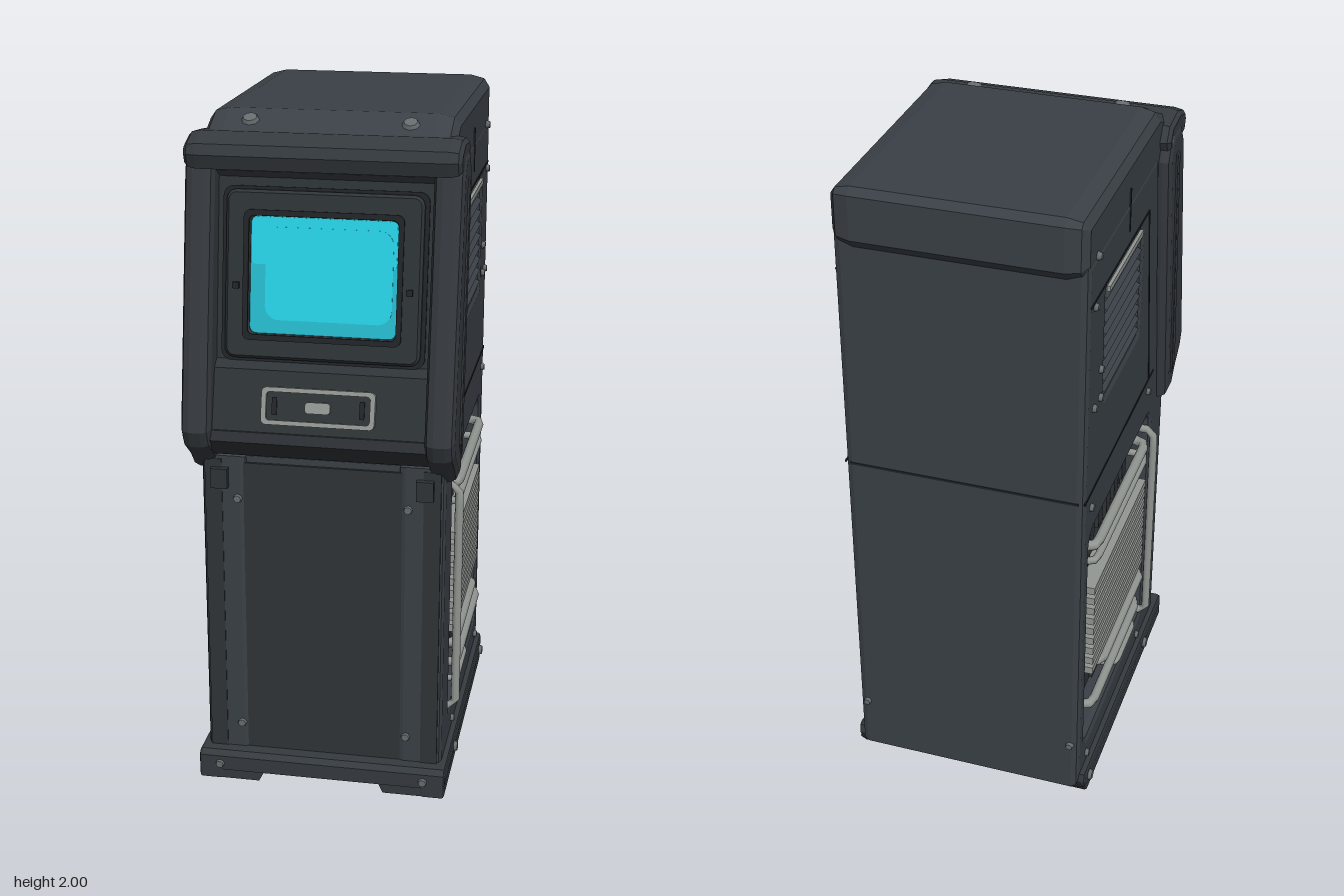
import * as THREE from 'three';

const mat = (name, color, side = THREE.FrontSide) => {
  const m = new THREE.MeshStandardMaterial({ color, side });
  m.name = name;
  return m;
};

export function createModel() {
  const root = new THREE.Group();
  root.name = 'arcadeTerminal';
  const body = mat('slate body', 0x3a4046);
  const trim = mat('slate trim', 0x353a3f);
  const front = mat('charcoal front', 0x2e3337);
  const dark = mat('dark recess', 0x212528);
  const metal = mat('bare metal', 0x929793);
  const bolt = mat('bolt grey', 0x666b6d);
  const cyan = mat('screen cyan', 0x28d8ec);
  const teal = mat('screen edge teal', 0x26bbcd);

  const add = (name, geo, m, parent = root) => {
    const mesh = new THREE.Mesh(geo, m);
    mesh.name = name;
    parent.add(mesh);
    return mesh;
  };
  const box = (name, x, y, z, w, h, d, m, parent) => {
    const b = add(name, new THREE.BoxGeometry(w, h, d), m, parent);
    b.position.set(x, y, z);
    return b;
  };
  const poly = (pts) => new THREE.Shape(pts.map(p => new THREE.Vector2(p[0], p[1])));
  const rounded = (x0, y0, x1, y1, r) => {
    const s = new THREE.Shape();
    s.absarc(x1 - r, y1 - r, r, 0, Math.PI / 2);
    s.absarc(x0 + r, y1 - r, r, Math.PI / 2, Math.PI);
    s.absarc(x0 + r, y0 + r, r, Math.PI, Math.PI * 1.5);
    s.absarc(x1 - r, y0 + r, r, Math.PI * 1.5, Math.PI * 2);
    s.closePath();
    return s;
  };
  // Extrudes a [z, y] side profile between two x positions; t is the bevel's reach along x
  const sideExtrude = (name, pts, x0, x1, b, m, holes = [], t = b) => {
    const s = poly(pts);
    s.holes = holes;
    const g = new THREE.ExtrudeGeometry(s, {
      depth: x1 - x0 - 2 * t, bevelEnabled: b > 0, bevelSize: b, bevelThickness: t,
      bevelOffset: -b, bevelSegments: 2, curveSegments: 5
    });
    g.translate(0, 0, t).rotateY(-Math.PI / 2).translate(x1, 0, 0);
    return add(name, g, m);
  };
  const plate = (name, shape, depth, z, m, parent, b = 0) => {
    const g = new THREE.ExtrudeGeometry(shape, {
      depth, bevelEnabled: b > 0, bevelSize: b, bevelThickness: b, bevelOffset: -b,
      bevelSegments: 1, curveSegments: 4
    });
    return add(name, g.translate(0, 0, z), m, parent);
  };
  const tube = (name, pts, r, m) => {
    const path = new THREE.CurvePath();
    const v = pts.map(p => new THREE.Vector3(...p));
    for (let i = 0; i < v.length - 1; i++) path.add(new THREE.LineCurve3(v[i], v[i + 1]));
    return add(name, new THREE.TubeGeometry(path, 24, r, 8), m);
  };
  // Domed bolt facing along an axis
  const addBolt = (x, y, z, dir, r = 0.014) => {
    const g = new THREE.CylinderGeometry(r * 0.7, r, 0.016, 8);
    const b = add('bolt', g, bolt);
    b.quaternion.setFromUnitVectors(new THREE.Vector3(0, 1, 0), new THREE.Vector3(...dir).normalize());
    b.position.set(x, y, z);
  };

  // Cabinet core and roof cap
  sideExtrude('cabinetCore', [[0.413, 0.05], [0.413, 1.03], [0.34, 1.08], [0.22, 1.85], [-0.5, 1.85], [-0.5, 0.05]],
    -0.26, 0.26, 0, body);
  sideExtrude('roofCap', [[-0.48, 1.74], [-0.49, 1.81], [-0.525, 1.85], [-0.525, 1.98], [-0.505, 2], [0.23, 2], [0.37, 1.935], [0.37, 1.85], [0.2, 1.74]],
    -0.355, 0.355, 0.035, body, [], 0.06);

  // Head: recessed screen face, sloped control face, hood and lower lip
  sideExtrude('facePanel', [[0.325, 1.88], [0.41, 1.32], [0.438, 1.3], [0.49, 1.11], [0.44, 1.05], [0.3, 1.03], [0.2, 1.88]],
    -0.33, 0.33, 0, front);
  sideExtrude('hood', [[0.22, 1.9], [0.25, 1.945], [0.35, 1.955], [0.42, 1.93], [0.43, 1.9], [0.415, 1.86], [0.25, 1.84]],
    -0.385, 0.385, 0.016, trim, [], 0.035);
  sideExtrude('lowerLip', [[0.491, 1.13], [0.497, 1.1], [0.45, 1.045], [0.36, 1.03], [0.36, 1.13]], -0.33, 0.33, 0.008, front);

  // Sides, mirrored
  for (const s of [1, -1]) {
    const span = (a, b) => s > 0 ? [a, b] : [-b, -a];
    const X = x => s * x;
    sideExtrude('sideShell', [[0.425, 0.05], [0.425, 1.03], [0.34, 1.08], [0.22, 1.87], [-0.5, 1.87], [-0.5, 0.05]],
      ...span(0.22, 0.357), 0.022, body,
      [rounded(-0.425, 0.175, 0.255, 0.965, 0.04), rounded(-0.32, 1.37, 0.05, 1.71, 0.01)]);
    sideExtrude('frameArm', [[0.36, 1.92], [0.4, 1.86], [0.527, 1.13], [0.505, 1.08], [0.44, 1.03], [0.4, 0.985], [0.33, 0.985], [0.22, 1.84], [0.26, 1.92]],
      ...span(0.305, 0.39), 0.026, trim);
    sideExtrude('frameRidge', [[0.29, 1.84], [0.32, 1.84], [0.4, 1.1], [0.365, 1.06]], ...span(0.38, 0.396), 0.005, trim);

    // Panel seams
    box('seam', X(0.357), 1.12, -0.115, 0.004, 0.007, 0.76, dark);
    box('seam', X(0.357), 1.735, -0.18, 0.004, 0.006, 0.6, dark);
    const slant = box('seam', X(0.357), 1.43, 0.165, 0.004, 0.62, 0.006, dark);
    slant.rotation.x = -0.14;
    box('seam', X(0.357), 1.84, -0.1, 0.004, 0.13, 0.006, dark);

    // Upper louvred vent
    box('ventBack', X(0.305), 1.54, -0.135, 0.02, 0.36, 0.38, dark);
    for (let i = 0; i < 9; i++) {
      const l = box('ventLouvre', X(0.338), 1.385 + i * 0.037, -0.135, 0.034, 0.02, 0.37, body);
      l.rotation.z = -s * 0.5;
    }
    box('ventTrim', X(0.358), 1.706, -0.135, 0.01, 0.016, 0.35, metal);

    // Lower bay: dark floor, fins, pipes and internals
    box('bayFloor', X(0.262), 0.57, -0.085, 0.008, 0.8, 0.69, dark);
    for (let i = 0; i < 9; i++) {
      box('coolingFin', X(0.335), 0.432 + i * 0.038, -0.092, 0.06, 0.024, 0.59, metal);
    }
    for (const z of [0.1, -0.1, -0.28]) box('finBracket', X(0.29), 0.59, z, 0.05, 0.38, 0.02, front);
    const pipes = [[0.9, 0.19, -0.39, 0.016], [0.845, 0.2, -0.39, 0.012], [0.38, 0.2, -0.28, 0.014], [0.295, 0.16, -0.39, 0.015], [0.225, 0.13, -0.1, 0.01]];
    for (const [y, z0, z1, r] of pipes) {
      tube('coolantPipe', [[X(0.27), y, z0], [X(0.345), y, z0], [X(0.363), y, z0 - 0.02],
        [X(0.363), y, z1 + 0.02], [X(0.345), y, z1], [X(0.27), y, z1]], r, metal);
    }
    tube('uprightPipe', [[X(0.32), 0.19, 0.24], [X(0.365), 0.19, 0.24], [X(0.375), 0.21, 0.24],
      [X(0.375), 0.89, 0.24], [X(0.365), 0.915, 0.24], [X(0.32), 0.915, 0.24]], 0.013, metal);
    for (let i = 0; i < 6; i++) {
      box('bayBlock', X(0.285), 0.85, 0.13 - i * 0.09, 0.05, 0.1 + (i % 3) * 0.03, 0.045, front);
      box('bayBlock', X(0.285), 0.29, 0.13 - i * 0.095, 0.05, 0.07 + (i % 2) * 0.06, 0.06, front);
    }

    // Front flange, latch and feet
    box('frontFlange', X(0.32), 0.55, 0.418, 0.05, 0.94, 0.02, front);
    box('hingeRod', X(0.292), 0.55, 0.42, 0.006, 0.8, 0.008, dark);
    box('latch', X(0.3), 0.965, 0.43, 0.05, 0.06, 0.03, front);
    sideExtrude('foot', [[0.472, 0], [0.472, 0.04], [-0.48, 0.04], [-0.45, 0]], ...span(0.3, 0.375), 0.008, trim);
    plate('frontFoot', poly([[X(0.17), 0.04], [X(0.19), 0], [X(0.37), 0], [X(0.37), 0.04]]), 0.07, 0.4, trim);

    // Bolts
    const sideBolts = [[0.2, 1.08], [-0.43, 1.07], [-0.42, 1.86], [-0.37, 1.49], [-0.37, 1.4], [-0.43, 1.4],
      [-0.44, 1.72], [0.19, 0.12], [-0.41, 0.12]];
    for (const [z, y] of sideBolts) addBolt(X(0.36), y, z, [s, 0, 0]);
    for (const z of [0.24, -0.43]) addBolt(X(0.378), 0.05, z, [s, 0, 0], 0.02);
    addBolt(X(0.378), 1.9, 0.26, [s, 0, 0], 0.018);
    for (const y of [0.17, 0.9]) addBolt(X(0.25), y, 0.425, [0, 0, 1], 0.016);
    addBolt(X(0.31), 0.05, 0.475, [0, 0, 1], 0.016);
    addBolt(X(0.225), 1.978, 0.285, [0, 0.8, 0.4], 0.028);
    addBolt(X(0.33), 0.22, -0.502, [0, 0, -1], 0.014);
  }
  box('rearSeam', 0, 1.12, -0.5, 0.68, 0.007, 0.004, dark);
  box('frontDoor', 0, 0.55, 0.412, 0.6, 0.92, 0.018, front);

  // Base plinth and underside rim
  sideExtrude('plinth', [[0.475, 0.03], [0.475, 0.075], [0.46, 0.09], [-0.48, 0.09], [-0.485, 0.06], [-0.47, 0.03]],
    -0.375, 0.375, 0.01, trim);
  box('rearRail', 0, 0.022, -0.43, 0.64, 0.03, 0.05, trim);
  box('underPanel', 0, 0.029, 0, 0.6, 0.008, 0.82, dark);

  // Screen and control panel, each lying on its sloped face
  const onFace = (name, y, z, slope) => {
    const g = new THREE.Group();
    g.name = name;
    g.position.set(0, y, z);
    g.rotation.x = -Math.atan(slope);
    root.add(g);
    return g;
  };
  const ring = (w, h, r, w2, h2, r2) => {
    const s = rounded(-w, -h, w, h, r);
    s.holes = [rounded(-w2, -h2, w2, h2, r2)];
    return s;
  };
  const display = onFace('display', 1.56, 0.374, 0.152);
  plate('screenSurround', rounded(-0.29, -0.245, 0.29, 0.245, 0.03), 0.006, 0, dark, display);
  plate('screenBezel', ring(0.278, 0.236, 0.03, 0.208, 0.164, 0.02), 0.016, 0, front, display, 0.008);
  plate('bezelLip', ring(0.225, 0.182, 0.02, 0.21, 0.166, 0.015), 0.006, 0.028, dark, display);
  plate('screenEdge', rounded(-0.21, -0.167, 0.21, 0.167, 0.015), 0.004, 0.008, teal, display);
  plate('screenGlow', rounded(-0.165, -0.125, 0.195, 0.135, 0.04), 0.002, 0.0135, cyan, display);
  plate('screenGlowTop', rounded(-0.205, 0.03, 0.205, 0.162, 0.01), 0.002, 0.012, cyan, display);
  for (const x of [-0.245, 0.245]) box('bezelScrew', x, -0.03, 0.032, 0.018, 0.018, 0.01, dark, display);

  const panel = onFace('controlPanel', 1.205, 0.464, 0.274);
  plate('controlFrame', ring(0.162, 0.053, 0.015, 0.148, 0.04, 0.01), 0.018, 0, metal, panel);
  plate('controlInset', rounded(-0.15, -0.042, 0.15, 0.042, 0.01), 0.01, 0, front, panel);
  plate('controlButton', rounded(-0.036, -0.016, 0.036, 0.016, 0.01), 0.022, 0, metal, panel);
  for (const x of [-0.125, 0.125]) box('controlSlot', x, 0, 0.011, 0.014, 0.05, 0.006, dark, panel);

  return root;
}
